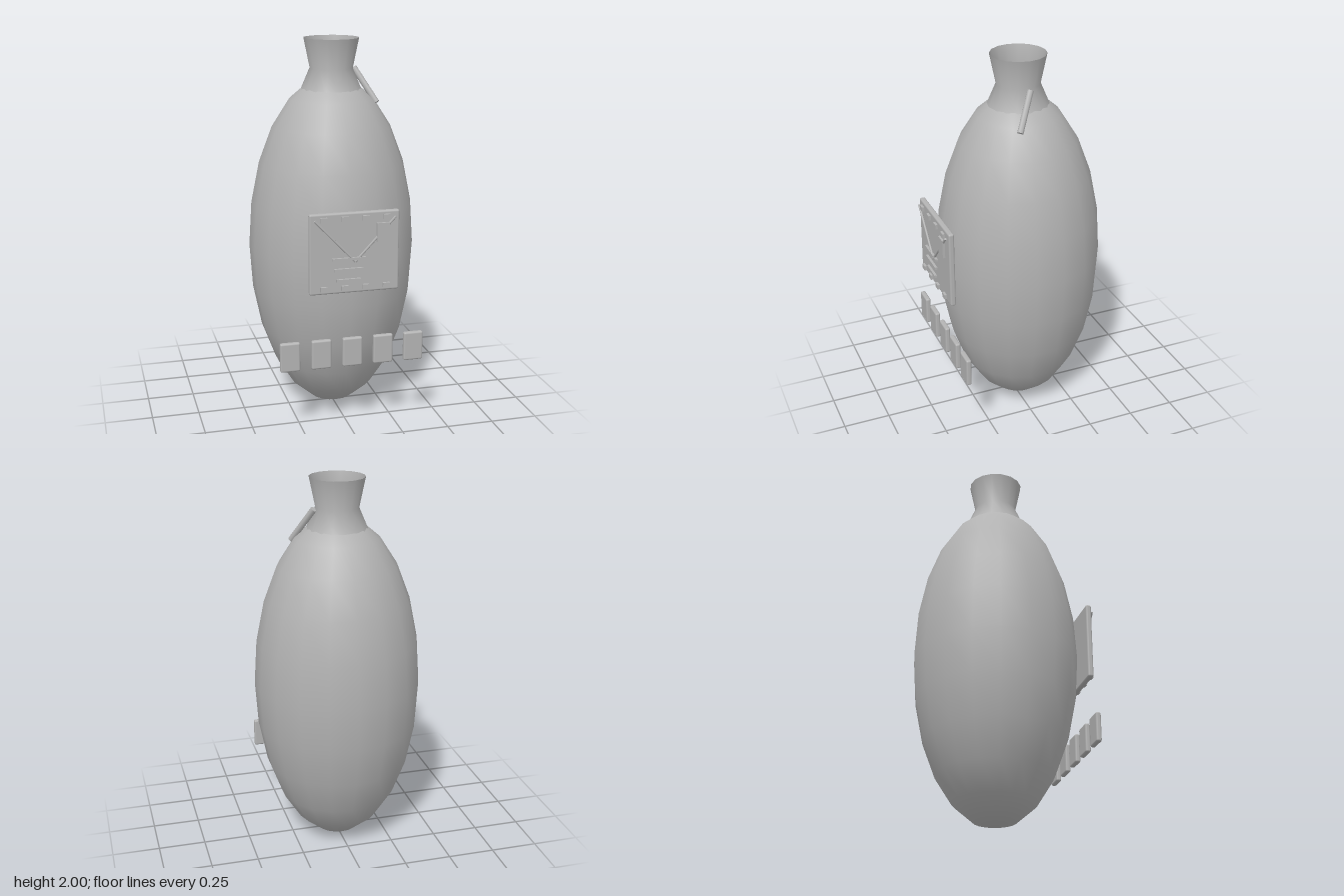
import * as THREE from 'three';
import { RoundedBoxGeometry } from 'three/addons/geometries/RoundedBoxGeometry.js';

export function createModel() {
  const model = new THREE.Group();
  const grey = new THREE.MeshStandardMaterial({ color: 0xb3b3b3, side: THREE.DoubleSide });
  grey.name = 'grey';
  const AXIS_Z = -0.027; // the body's axis sits slightly behind the centre

  const add = (name, geometry, x, y, z, parent = model) => {
    const mesh = new THREE.Mesh(geometry, grey);
    mesh.name = name;
    mesh.position.set(x, y, z);
    parent.add(mesh);
    return mesh;
  };

  // Straight rod between two points
  const rod = (name, a, b, radius, sides, parent) => {
    const path = new THREE.LineCurve3(new THREE.Vector3(...a), new THREE.Vector3(...b));
    const mid = path.getPoint(0.5);
    const mesh = add(name, new THREE.CylinderGeometry(radius, radius, path.getLength(), sides), mid.x, mid.y, mid.z, parent);
    mesh.quaternion.setFromUnitVectors(new THREE.Vector3(0, 1, 0), path.getTangent(0));
    return mesh;
  };

  // Egg-shaped body
  const egg = new THREE.SphereGeometry(1, 18, 12);
  egg.rotateY(Math.PI / 2);
  egg.scale(0.441, 0.903, 0.435);
  add('body', egg, 0, 0.905, AXIS_Z);

  // Open, waisted neck
  const profile = [[0.16, 1.735], [0.113, 1.845], [0.145, 2]].map(p => new THREE.Vector2(...p));
  add('neck', new THREE.LatheGeometry(profile, 16), 0, 0, AXIS_Z);

  // Slanted lever on the neck
  rod('lever', [0.125, 1.842, -0.04], [0.222, 1.668, 0.055], 0.017, 8);

  // Front panel with its raised details
  const panel = new THREE.Group();
  panel.name = 'frontPanel';
  model.add(panel);
  add('plate', new RoundedBoxGeometry(0.464, 0.416, 0.03, 2, 0.01), 0, 0.982, 0.428, panel);
  const DETAIL_Z = 0.453;
  const detail = (name, x, y, w, h) => add(name, new THREE.BoxGeometry(w, h, 0.013), x, y, DETAIL_Z, panel);
  for (const x of [-0.161, -0.053, 0.055, 0.163]) {
    detail('upperStud', x, 1.161, 0.036, 0.025);
    detail('lowerStud', x, 0.805, 0.036, 0.025);
  }
  for (const side of [-1, 1]) {
    rod('chevronArm', [0, 0.94, DETAIL_Z], [side * 0.208, 1.16, DETAIL_Z], 0.0065, 6, panel);
  }
  detail('tag', 0.144, 1.083, 0.066, 0.096);
  detail('longBar', -0.033, 0.956, 0.172, 0.012);
  detail('middleBar', -0.034, 0.9, 0.15, 0.014);
  detail('shortBar', -0.034, 0.845, 0.125, 0.014);

  // Row of blocks below the panel
  for (let i = -2; i <= 2; i++) {
    add('block', new RoundedBoxGeometry(0.104, 0.155, 0.028, 2, 0.01), i * 0.1635, 0.443, 0.404);
  }

  return model;
}
